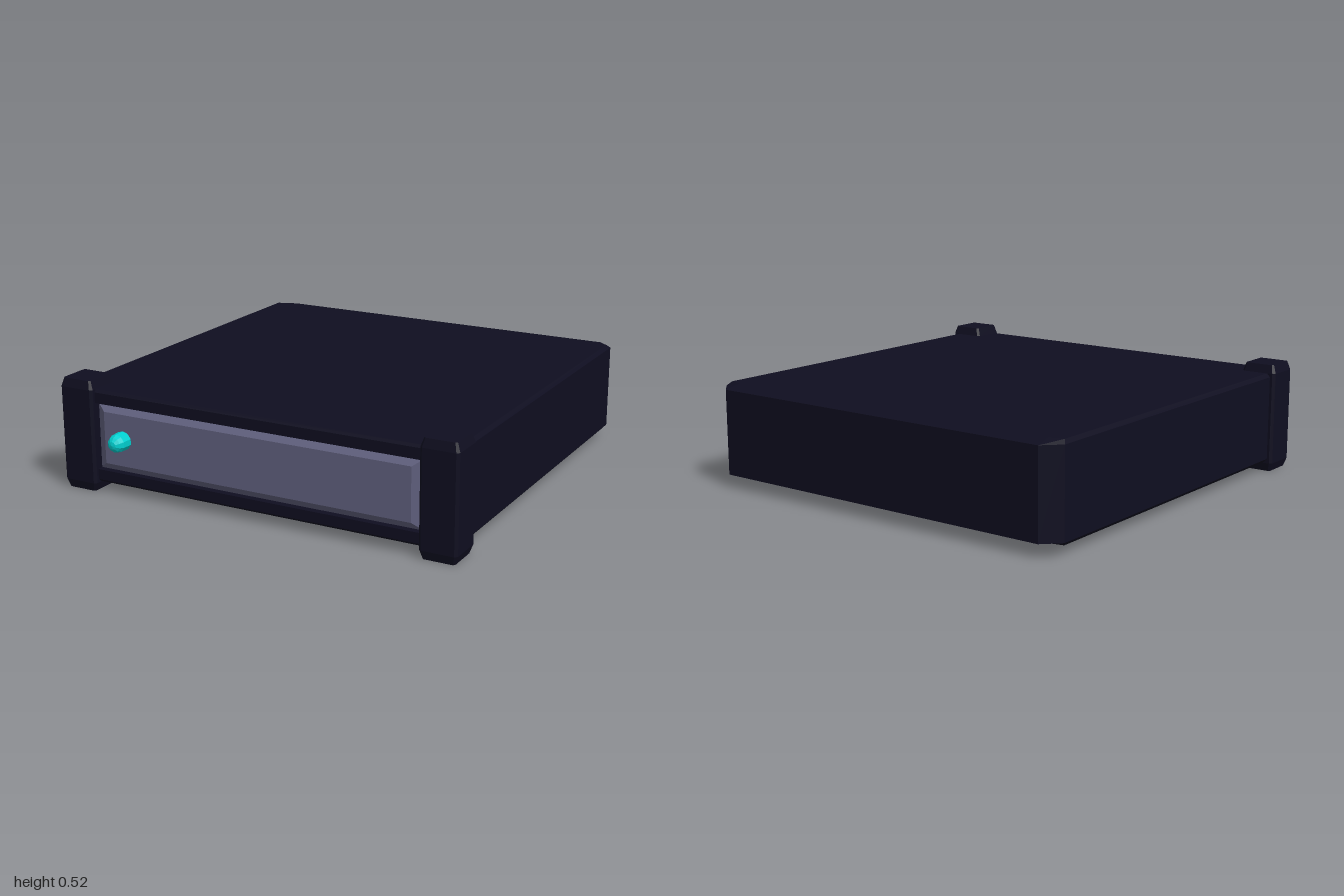
import * as THREE from 'three';

const dark = new THREE.MeshStandardMaterial({ color: 0x0f0e20, flatShading: true });
const grey = new THREE.MeshStandardMaterial({ color: 0x626280, flatShading: true });
const cyan = new THREE.MeshStandardMaterial({ color: 0x00d0d0, flatShading: true });

// Skin stacked convex loops (counter-clockwise seen from the stacking direction) and cap both ends
function loft(loops) {
  const n = loops[0].length;
  const index = [];
  for (let k = 0; k < loops.length - 1; k++) {
    for (let i = 0; i < n; i++) {
      const a = k * n + i, b = k * n + (i + 1) % n;
      index.push(a, b, b + n, a, b + n, a + n);
    }
  }
  const last = (loops.length - 1) * n;
  for (let i = 1; i < n - 1; i++) {
    index.push(0, i + 1, i, last, last + i, last + i + 1);
  }
  const indexed = new THREE.BufferGeometry();
  indexed.setAttribute('position', new THREE.Float32BufferAttribute(loops.flat(2), 3));
  indexed.setIndex(index);
  const geometry = indexed.toNonIndexed();
  geometry.computeVertexNormals();
  return geometry;
}

// Horizontal rectangle with cut corners, at height y
function cutRect(y, hx, hz, c) {
  return [
    [hx - c, hz], [hx, hz - c], [hx, c - hz], [hx - c, -hz],
    [c - hx, -hz], [-hx, c - hz], [-hx, hz - c], [c - hx, hz],
  ].map(([x, z]) => [x, y, z]);
}

// Body outline with cut rear corners, at height y
function bodyLoop(y, hx, back, cutX, cutZ) {
  return [
    [hx, 0.88], [hx, back + cutZ], [hx - cutX, back],
    [cutX - hx, back], [-hx, back + cutZ], [-hx, 0.88],
  ].map(([x, z]) => [x, y, z]);
}

// Upright rectangle facing the front, at depth z
function frontRect(z, hx, y0, y1) {
  return [[-hx, y0, z], [hx, y0, z], [hx, y1, z], [-hx, y1, z]];
}

export function createModel() {
  const group = new THREE.Group();
  const add = (name, geometry, material, x = 0, y = 0, z = 0) => {
    const mesh = new THREE.Mesh(geometry, material);
    mesh.name = name;
    mesh.position.set(x, y, z);
    group.add(mesh);
    return mesh;
  };

  // Flat case, its top and bottom sloping in towards the back
  add('body', loft([
    bodyLoop(0.045, 0.945, -0.92, 0.07, 0.015),
    bodyLoop(0.062, 0.96, -1, 0.075, 0.075),
    bodyLoop(0.463, 0.96, -1, 0.075, 0.075),
    bodyLoop(0.48, 0.945, -0.92, 0.07, 0.015),
  ]), dark);

  // Lips above and below the front panel
  add('upperLip', loft([
    frontRect(0.87, 0.85, 0.418, 0.48),
    frontRect(0.905, 0.85, 0.418, 0.48),
    frontRect(0.917, 0.85, 0.418, 0.468),
  ]), dark);
  add('lowerLip', loft([
    frontRect(0.87, 0.85, 0.045, 0.105),
    frontRect(0.905, 0.85, 0.045, 0.105),
    frontRect(0.917, 0.85, 0.057, 0.105),
  ]), dark);

  // Bevelled front panel
  add('frontPanel', loft([
    frontRect(0.875, 0.815, 0.105, 0.418),
    frontRect(0.885, 0.815, 0.105, 0.418),
    frontRect(0.914, 0.765, 0.14, 0.383),
  ]), grey);

  // Corner posts
  const postGeometry = loft([
    cutRect(0, 0.073, 0.076, 0.008),
    cutRect(0.04, 0.087, 0.087, 0.012),
    cutRect(0.48, 0.087, 0.087, 0.012),
    cutRect(0.52, 0.073, 0.076, 0.008),
  ]);
  for (const side of [-1, 1]) {
    add(side > 0 ? 'leftPost' : 'rightPost', postGeometry, dark, side * 0.897, 0, 0.853);
  }

  // Domed knob
  const profile = [[0.044, 0], [0.042, 0.05], [0.034, 0.071], [0.018, 0.084], [0, 0.088]]
    .map(([r, h]) => new THREE.Vector2(r, h));
  const knob = add('knob', new THREE.LatheGeometry(profile, 10), cyan, -0.665, 0.263, 0.912);
  knob.rotation.x = Math.PI / 2;

  return group;
}
